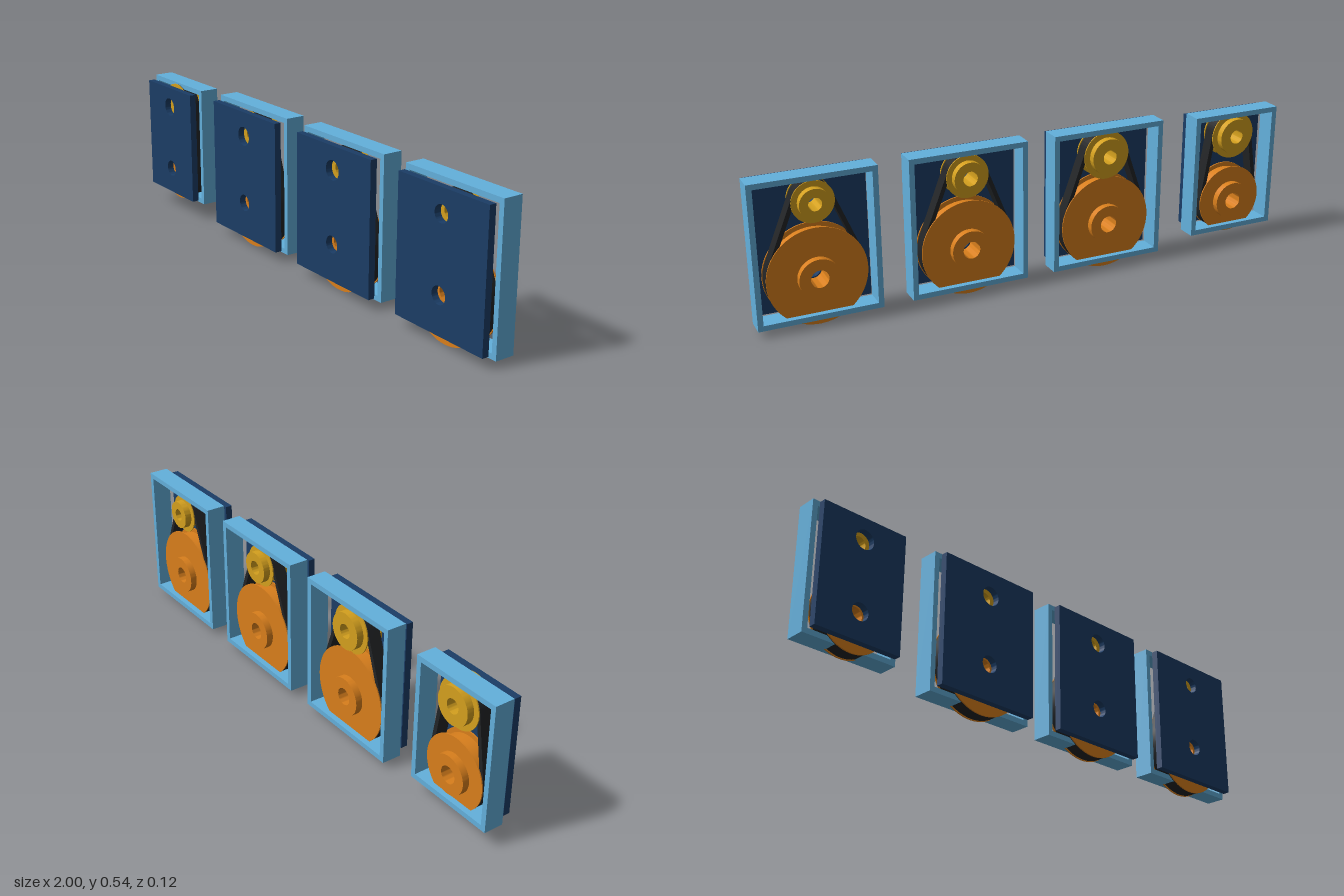
import * as THREE from 'three';
import { toCreasedNormals } from 'three/addons/utils/BufferGeometryUtils.js';

const mat = (color) => new THREE.MeshStandardMaterial({ color });
const frameMat = mat(0x63b0dc), plateMat = mat(0x1b3d66), goldMat = mat(0xd4a01e);
const orangeMat = mat(0xd97f1c), beltMat = mat(0x222426);

function rect(x0, y0, x1, y1, Type = THREE.Shape) {
  return new Type([[x0, y0], [x1, y0], [x1, y1], [x0, y1]].map((p) => new THREE.Vector2(...p)));
}

function addMesh(parent, name, geometry, material) {
  const mesh = new THREE.Mesh(toCreasedNormals(geometry, 0.5), material);
  mesh.name = name;
  parent.add(mesh);
  return mesh;
}

// Extrude a shape between two depths
function slab(shape, z0, z1) {
  const g = new THREE.ExtrudeGeometry(shape, { depth: z1 - z0, bevelEnabled: false, curveSegments: 32 });
  return g.translate(0, 0, z0);
}

// Loop of a belt running around two wheels (big at yBig, small at ySmall)
function beltLoop(Type, yBig, R, ySmall, r) {
  const t = Math.acos((R - r) / (ySmall - yBig)), up = Math.PI / 2;
  const path = new Type();
  path.absarc(0, ySmall, r, up - t, up + t, false);
  path.absarc(0, yBig, R, up + t, up - t + 2 * Math.PI, false);
  path.closePath();
  return path;
}

// Flanged pulley with a rear hub and a bore right through it
function pulley(radius, hub, bore) {
  const core = radius - 0.016;
  const profile = [
    [bore, -0.058], [hub, -0.058], [hub, -0.033], [radius, -0.033], [radius, -0.029],
    [core, -0.029], [core, 0.022], [radius, 0.022], [radius, 0.027], [bore, 0.027], [bore, -0.058],
  ].map((p) => new THREE.Vector2(...p));
  return new THREE.LatheGeometry(profile, 64).rotateX(Math.PI / 2);
}

function beltDrive({ x, half, bottom, top, bigR, smallY, smallR, smallHub, smallBore, smallHole }) {
  const unit = new THREE.Group();
  unit.name = 'beltDrive';
  unit.position.x = x;
  const bigY = 0.174, wall = 0.019, inset = 0.015;

  // Open rectangular frame
  const frame = rect(-half, bottom, half, top);
  frame.holes.push(rect(-half + wall, bottom + wall, half - wall, top - wall, THREE.Path));
  addMesh(unit, 'frame', slab(frame, -0.054, 0.018), frameMat);

  // Front plate with two shaft holes
  const plate = rect(-half + inset, bottom + inset, half - inset, top - inset);
  for (const [y, r] of [[bigY, 0.031], [smallY, smallHole]]) {
    plate.holes.push(new THREE.Path().absarc(0, y, r, 0, Math.PI * 2, true));
  }
  addMesh(unit, 'frontPlate', slab(plate, 0.035, 0.06), plateMat);

  // Pulleys
  addMesh(unit, 'largePulley', pulley(bigR, 0.07, 0.031), orangeMat).position.y = bigY;
  addMesh(unit, 'smallPulley', pulley(smallR, smallHub, smallBore), goldMat).position.y = smallY;

  // Belt
  const belt = beltLoop(THREE.Shape, bigY, bigR - 0.002, smallY, smallR - 0.002);
  belt.holes.push(beltLoop(THREE.Path, bigY, bigR - 0.017, smallY, smallR - 0.017));
  addMesh(unit, 'belt', slab(belt, -0.026, 0.02), beltMat);
  return unit;
}

export function createModel() {
  const model = new THREE.Group();
  model.name = 'beltDriveSet';
  const wide = { half: 0.216, bottom: 0.025, top: 0.536, bigR: 0.173 };
  const large = { smallR: 0.088, smallHub: 0.067, smallBore: 0.026, smallHole: 0.035 };
  const units = [
    { x: -0.825, half: 0.175, bottom: 0.06, top: 0.521, bigR: 0.128, smallY: 0.428, ...large },
    { x: -0.291, ...wide, smallY: 0.43, ...large },
    { x: 0.244, ...wide, smallY: 0.436, ...large, smallR: 0.077, smallHub: 0.058 },
    { x: 0.782, ...wide, smallY: 0.437, smallR: 0.073, smallHub: 0.053, smallBore: 0.023, smallHole: 0.03 },
  ];
  for (const u of units) model.add(beltDrive(u));
  return model;
}
